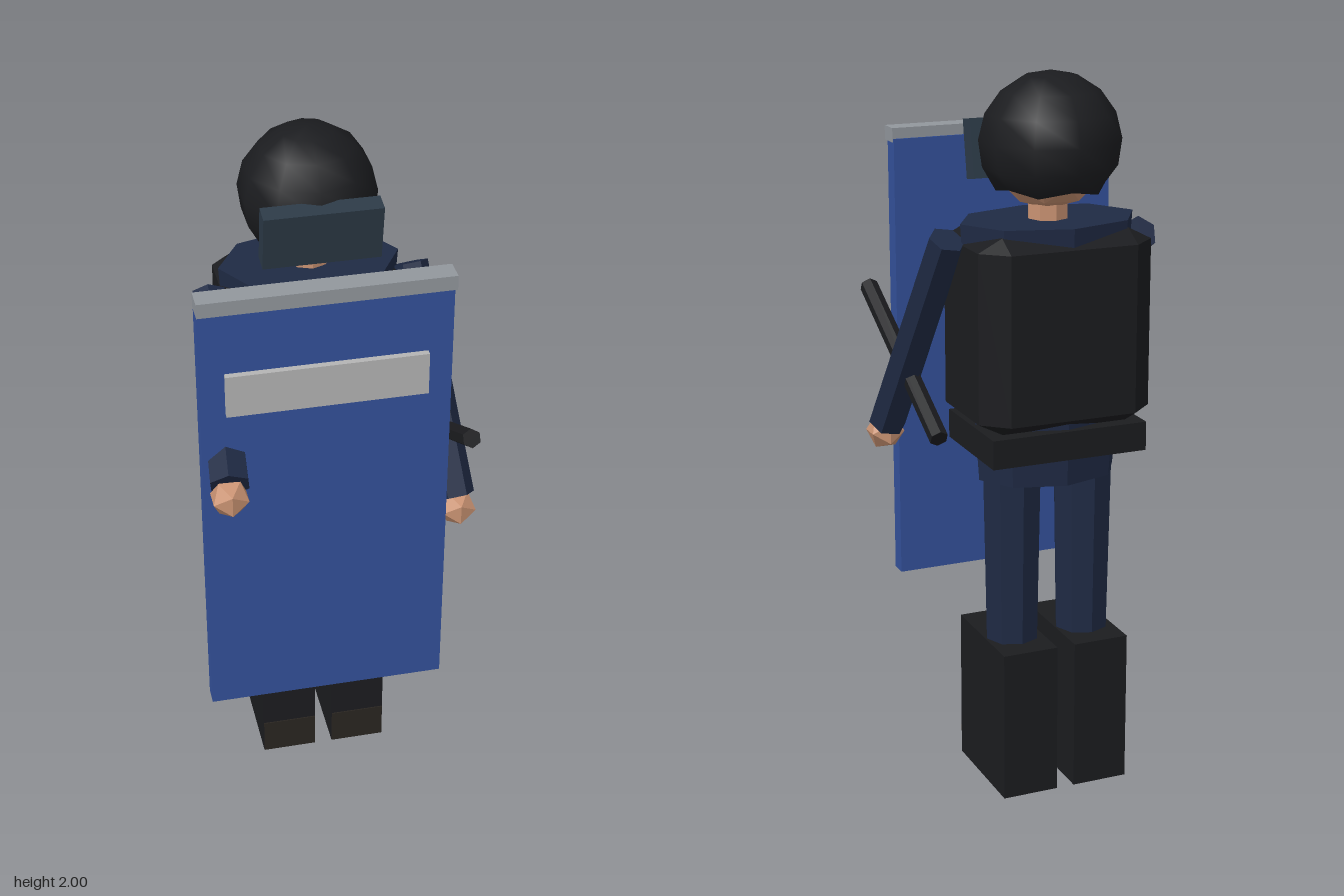
import * as THREE from 'three';
import { ConvexGeometry } from 'three/addons/geometries/ConvexGeometry.js';

const mat = (color, flatShading = true) => new THREE.MeshStandardMaterial({ color, flatShading });

export function createModel() {
  const model = new THREE.Group();
  const navy = mat(0x1f2a44), black = mat(0x1b1c1f), skin = mat(0xc99272);
  const blue = mat(0x34519a), grey = mat(0x92979d), pale = mat(0xb4b4b4);
  const visorBlue = mat(0x2c3a47), brown = mat(0x2a2621);
  const cx = -0.012, cz = -0.19;

  const add = (name, geometry, material, x = 0, y = 0, z = 0) => {
    const mesh = new THREE.Mesh(geometry, material);
    mesh.name = name;
    mesh.position.set(x, y, z);
    model.add(mesh);
    return mesh;
  };

  // box given by its extents
  const box = (name, material, [x0, x1], [y0, y1], [z0, z1]) =>
    add(name, new THREE.BoxGeometry(x1 - x0, y1 - y0, z1 - z0), material,
      (x0 + x1) / 2, (y0 + y1) / 2, (z0 + z1) / 2);

  // tapered rod from a to b
  const rod = (name, material, a, b, ra, rb, sides = 6) => {
    const from = new THREE.Vector3(...a), to = new THREE.Vector3(...b);
    const dir = to.clone().sub(from);
    const mesh = add(name, new THREE.CylinderGeometry(rb, ra, dir.length(), sides), material);
    mesh.position.copy(from).add(to).multiplyScalar(0.5);
    mesh.quaternion.setFromUnitVectors(new THREE.Vector3(0, 1, 0), dir.normalize());
    return mesh;
  };

  // legs and boots
  for (const [side, x] of [['right', -0.12], ['left', 0.092]]) {
    rod(side + 'Leg', navy, [x, 0.4, cz], [x, 1.0, cz], 0.075, 0.086, 8);
    box(side + 'Boot', black, [x - 0.08, x + 0.08], [0, 0.43], [-0.325, -0.003]);
    box(side + 'ToeCap', brown, [x - 0.079, x + 0.079], [0.001, 0.11], [-0.1, 0]);
  }

  // torso: oval eight-sided taper
  const torso = new THREE.CylinderGeometry(0.25, 0.2, 0.71, 8);
  torso.rotateY(Math.PI / 2).scale(1, 1, 0.69);
  add('torso', torso, navy, cx, 1.255, cz);

  // armoured vest: box with chamfered edges
  const corners = [];
  for (const sx of [-1, 1]) for (const sy of [-1, 1]) for (const sz of [-1, 1]) {
    for (const [x, y, z] of [[0.248, 0.23, 0.12], [0.18, 0.265, 0.12], [0.18, 0.23, 0.181]]) {
      corners.push(new THREE.Vector3(sx * x, sy * y, sz * z));
    }
  }
  add('vest', new ConvexGeometry(corners), black, cx, 1.325, -0.188);
  box('belt', black, [-0.235, 0.212], [0.98, 1.06], [-0.35, -0.03]);

  // neck, head, helmet and visor
  rod('neck', skin, [cx, 1.57, cz], [cx, 1.68, cz], 0.056, 0.056, 8);
  add('head', new THREE.IcosahedronGeometry(0.16, 1), skin, cx, 1.795, -0.2);
  const helmet = new THREE.SphereGeometry(0.19, 10, 6, Math.PI / 2, Math.PI * 2, 0, 2.28);
  const p = helmet.attributes.position;
  for (let i = 6 * 11; i < p.count; i++) if (i % 2) p.setY(i, p.getY(i) + 0.015);
  add('helmet', helmet,
    new THREE.MeshStandardMaterial({ color: 0x1b1c1f, side: THREE.DoubleSide }), cx, 1.81, -0.205);
  const visor = add('visor', new THREE.BoxGeometry(0.32, 0.16, 0.054), visorBlue, cx, 1.777, -0.028);
  visor.rotation.x = 0.165;

  // arms and hands
  rod('leftArm', navy, [0.27, 1.57, -0.18], [0.337, 0.99, 0.13], 0.05, 0.053);
  rod('rightArm', navy, [-0.29, 1.54, -0.18], [-0.333, 1.27, 0.335], 0.05, 0.057);
  add('leftHand', new THREE.IcosahedronGeometry(0.055, 0), skin, 0.337, 0.963, 0.148);
  add('rightHand', new THREE.IcosahedronGeometry(0.055, 0), skin, -0.336, 1.24, 0.345);

  // baton
  rod('baton', black, [0.307, 1.035, -0.2], [0.307, 1.335, 0.352], 0.026, 0.026);

  // shield with rim and window
  box('shield', blue, [-0.395, 0.265], [0.49, 1.77], [0.235, 0.285]);
  box('shieldRim', grey, [-0.397, 0.267], [1.76, 1.8], [0.24, 0.302]);
  box('shieldWindow', pale, [-0.33, 0.2], [1.46, 1.58], [0.28, 0.303]);

  return model;
}
